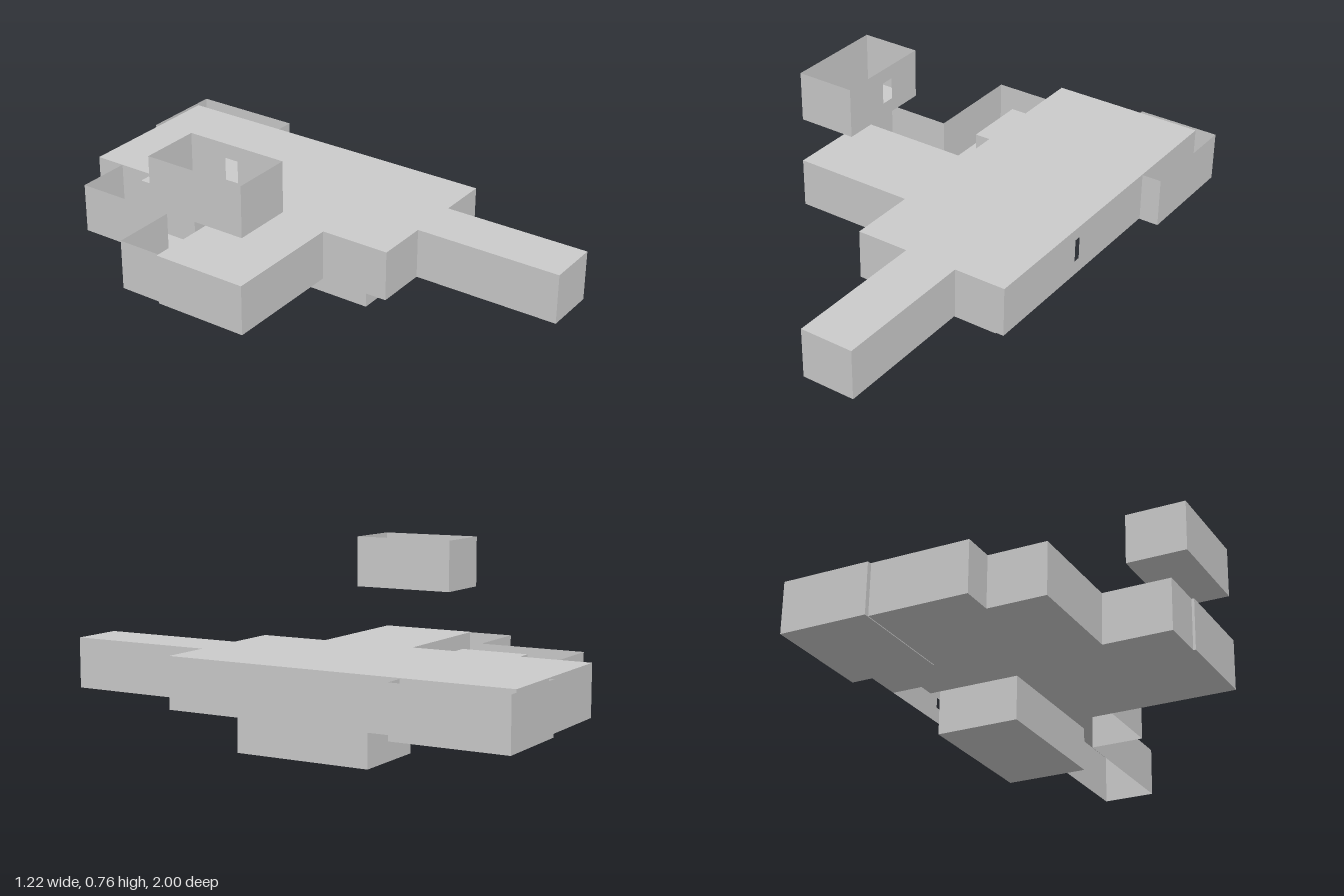
import * as THREE from 'three';

const material = new THREE.MeshStandardMaterial({ color: 0xcccccc, side: THREE.DoubleSide, flatShading: true });

function shapeOf(points) {
  return new THREE.Shape(points.map(([a, b]) => new THREE.Vector2(a, b)));
}

// Flat horizontal sheet from [x, z] corners
function slab(name, points, y) {
  const geometry = new THREE.ShapeGeometry(shapeOf(points.map(([x, z]) => [x, -z])));
  geometry.rotateX(-Math.PI / 2);
  const mesh = new THREE.Mesh(geometry, material);
  mesh.position.y = y;
  mesh.name = name;
  return mesh;
}

// Upright thin wall between two [x, z] points; opening = [start, end, bottom, top]
function wall(name, [x0, z0], [x1, z1], y0, y1, opening) {
  const length = Math.hypot(x1 - x0, z1 - z0);
  const shape = shapeOf([[0, y0], [length, y0], [length, y1], [0, y1]]);
  if (opening) {
    const [a, b, c, d] = opening;
    shape.holes.push(new THREE.Path([[a, c], [a, d], [b, d], [b, c]].map(p => new THREE.Vector2(...p))));
  }
  const mesh = new THREE.Mesh(new THREE.ShapeGeometry(shape), material);
  mesh.position.set(x0, 0, z0);
  mesh.rotation.y = -Math.atan2(z1 - z0, x1 - x0);
  mesh.name = name;
  return mesh;
}

// Chain of walls; openings are keyed by wall index
function walls(name, points, y0, y1, closed = true, openings = {}) {
  const group = new THREE.Group();
  group.name = name;
  const count = closed ? points.length : points.length - 1;
  for (let i = 0; i < count; i++) {
    group.add(wall(name + 'Panel', points[i], points[(i + 1) % points.length], y0, y1, openings[i]));
  }
  return group;
}

const rect = (x0, x1, z0, z1) => [[x0, z0], [x1, z0], [x1, z1], [x0, z1]];

export function createModel() {
  const model = new THREE.Group();
  model.name = 'buildingShell';
  const base = 0.17, top = 0.37;

  // Roofed storey: hall, front corridor, side wing and small stair bump
  const outline = [
    [-0.11, -0.98], [0.53, -0.98], [0.53, 0.41], [0.32, 0.41], [0.32, 1], [0.105, 1],
    [0.105, 0.41], [-0.11, 0.41], [-0.11, 0.13], [-0.61, 0.13], [-0.61, -0.255],
    [-0.11, -0.255], [-0.11, -0.435], [-0.175, -0.435], [-0.175, -0.7], [-0.11, -0.7],
  ];
  model.add(slab('mainRoof', outline, top));
  // The long side wall has a window
  model.add(walls('mainWalls', outline, base, top, true, { 1: [0.89, 0.96, 0.23, 0.34] }));

  // Floors of the hall and wing; the front passage stays open below
  model.add(slab('mainFloor', [
    [-0.11, -0.98], [0.53, -0.98], [0.53, -0.4], [0.41, -0.4], [0.41, -0.335],
    [0.05, -0.335], [0.05, 0.13], [-0.61, 0.13], [-0.61, -0.255], [-0.11, -0.255],
  ], base));
  model.add(walls('passagePartition', [[0.53, -0.4], [0.41, -0.4], [0.41, 0.22]], base, top, false));

  // Roofless terrace behind the wing
  const terrace = [
    [-0.11, -0.855], [-0.335, -0.855], [-0.335, -0.435], [-0.6, -0.435], [-0.6, -0.255],
  ];
  model.add(slab('terraceFloor', [...terrace, [-0.11, -0.255]], base));
  model.add(walls('terraceWalls', terrace, base, top, false));

  // Roofless rear corner room
  const corner = rect(0.27, 0.61, -1, -0.55);
  model.add(slab('cornerRoomFloor', corner, base - 0.003));
  model.add(walls('cornerRoomWalls', corner, base - 0.003, top - 0.003));

  // Basement
  const basement = rect(0.05, 0.37, -0.335, 0.22);
  model.add(slab('basementFloor', basement, 0));
  model.add(walls('basementWalls', basement, 0, base));

  // Raised open room with a window on its inner side
  const upper = rect(-0.6, -0.36, -0.28, 0.13);
  model.add(slab('upperRoomFloor', upper, 0.557));
  model.add(walls('upperRoomWalls', upper, 0.557, 0.757, true, { 1: [0.155, 0.21, 0.613, 0.7] }));

  return model;
}
